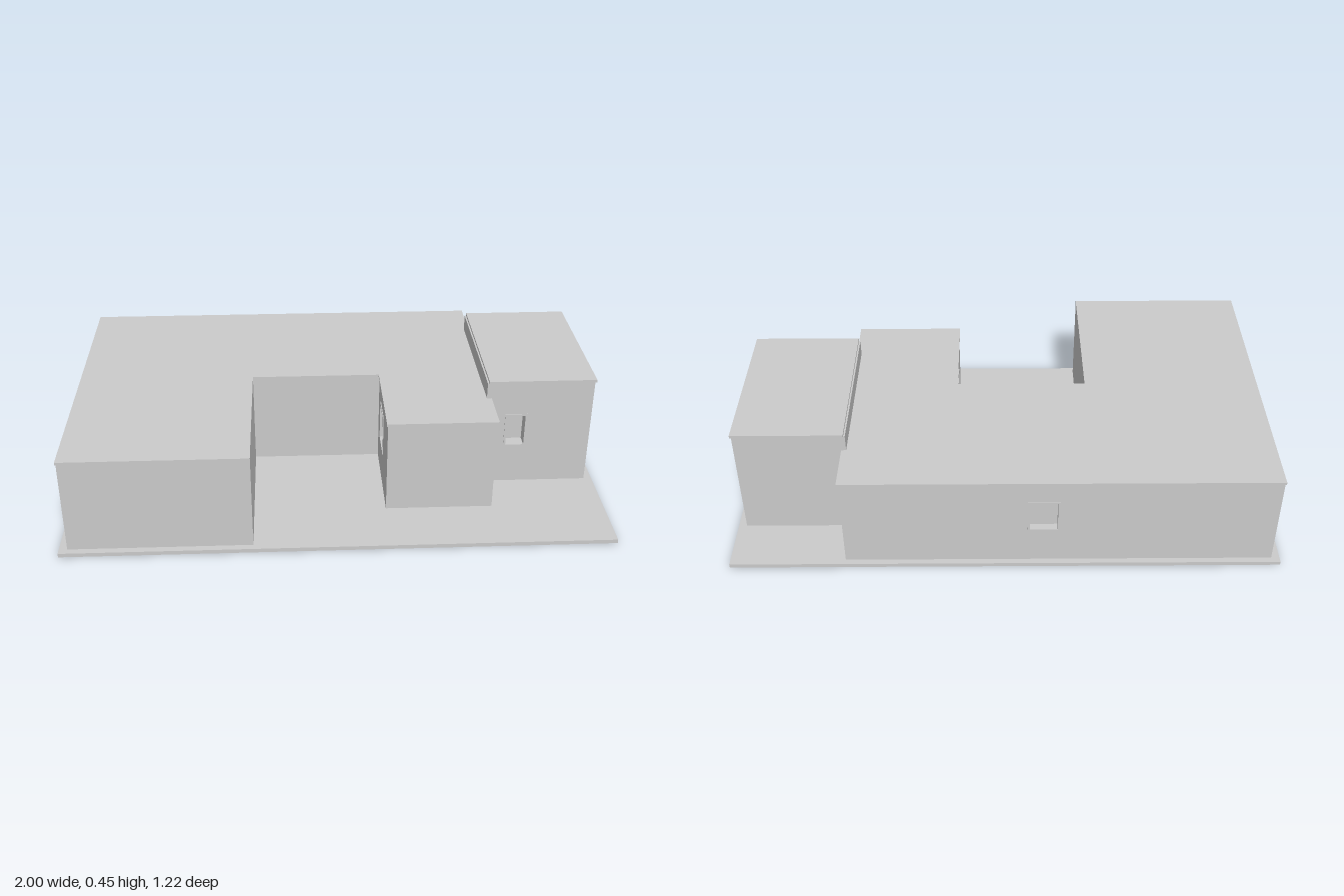
import * as THREE from 'three';

const BASE = 0.015, ROOF = 0.01;

export function createModel() {
  const model = new THREE.Group();
  model.name = 'house';
  const grey = new THREE.MeshStandardMaterial({ color: 0xcbcbcb });
  grey.name = 'pale grey';

  const add = (parent, geometry, name) => {
    const mesh = new THREE.Mesh(geometry, grey);
    mesh.name = name;
    parent.add(mesh);
    return mesh;
  };

  const rect = (Type, x0, x1, y0, y1) => new Type([
    new THREE.Vector2(x0, y0), new THREE.Vector2(x1, y0),
    new THREE.Vector2(x1, y1), new THREE.Vector2(x0, y1),
  ]);

  const extrude = (shape, depth) =>
    new THREE.ExtrudeGeometry(shape, { depth, bevelEnabled: false });

  // Flat slab over a ground plan of [x, z] corners
  const slab = (plan, y, height, name) => {
    const shape = new THREE.Shape(plan.map(([x, z]) => new THREE.Vector2(x, -z)));
    add(model, extrude(shape, height).rotateX(-Math.PI / 2), name).position.y = y;
  };

  // One wall along a plan edge, with its outer face at local z = 0
  const wall = ([ax, az], [bx, bz], top, win) => {
    const group = new THREE.Group();
    group.name = win ? 'wallWithWindow' : 'wall';
    group.position.set(ax, 0, az);
    group.rotation.y = Math.atan2(az - bz, bx - ax);
    const thick = win ? win.depth : 0.03;
    const panel = rect(THREE.Shape, 0, Math.hypot(bx - ax, bz - az), BASE, top);
    if (win) {
      const { s0, s1, y0, y1 } = win, f = 0.008;
      const opening = () => rect(THREE.Path, s0 + f, s1 - f, y0 + f, y1 - f);
      panel.holes.push(opening());
      // Thin raised frame and recessed pane
      const frame = rect(THREE.Shape, s0, s1, y0, y1);
      frame.holes.push(opening());
      add(group, extrude(frame, 0.003), 'windowFrame');
      const pane = new THREE.BoxGeometry(s1 - s0, y1 - y0, 0.006);
      add(group, pane, 'windowPane')
        .position.set((s0 + s1) / 2, (y0 + y1) / 2, -thick);
    }
    add(group, extrude(panel, thick), 'wallPanel').position.z = -thick;
    model.add(group);
  };

  const walls = (plan, top, windows) => plan.forEach((corner, i) =>
    wall(corner, plan[(i + 1) % plan.length], top, windows[i]));

  // Ground plate
  slab([[-1, 0.61], [1, 0.61], [1, -0.61], [-1, -0.61]], 0, BASE, 'basePlate');

  // Main building around an open court
  walls([
    [-0.97, 0.585], [-0.31, 0.585], [-0.31, -0.015], [0.182, -0.015],
    [0.182, 0.375], [0.58, 0.375], [0.58, -0.588], [-0.97, -0.588],
  ], 0.375, {
    3: { s0: 0.085, s1: 0.215, y0: 0.145, y1: 0.305, depth: 0.03 },
    6: { s0: 0.66, s1: 0.775, y0: 0.155, y1: 0.29, depth: 0.03 },
  });
  slab([
    [-0.973, 0.59], [-0.31, 0.59], [-0.31, -0.008], [0.178, -0.008],
    [0.178, 0.38], [0.585, 0.38], [0.585, -0.593], [-0.973, -0.593],
  ], 0.37, ROOF, 'mainRoof');

  // Taller side block
  walls([[0.567, 0.2], [0.97, 0.2], [0.97, -0.405], [0.567, -0.405]], 0.442, {
    0: { s0: 0.075, s1: 0.16, y0: 0.17, y1: 0.31, depth: 0.05 },
  });
  slab([[0.573, 0.205], [0.975, 0.205], [0.975, -0.41], [0.573, -0.41]],
    0.441, ROOF, 'sideBlockRoof');

  return model;
}
